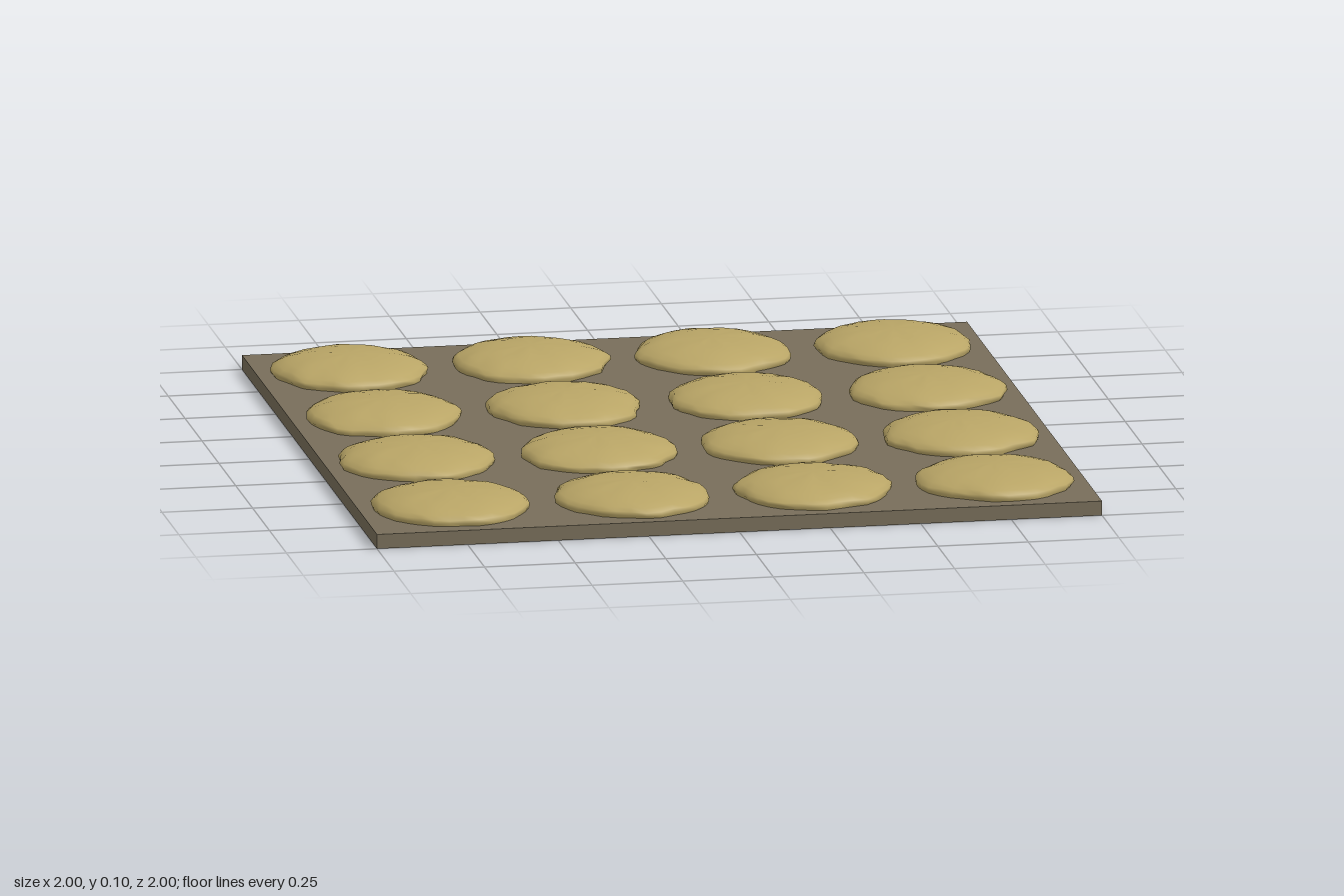
import * as THREE from 'three';
import { mergeVertices } from 'three/addons/utils/BufferGeometryUtils.js';

const TRAY_TOP = 0.04;

// small seeded generator, so every bun differs but repeats on each run
function seeded(seed) {
  let s = seed;
  return () => (s = (s * 16807) % 2147483647) / 2147483647;
}

// low dome with an uneven rim and faint swirling folds on top
function bunGeometry(rand) {
  const profile = [
    [0.206, -0.004], [0.212, 0.008], [0.209, 0.017], [0.196, 0.027], [0.172, 0.037],
    [0.138, 0.046], [0.098, 0.052], [0.05, 0.056], [0, 0.057],
  ].map(([r, y]) => new THREE.Vector2(r, y));
  let geo = new THREE.LatheGeometry(profile, 32);
  geo.deleteAttribute('normal');
  geo.deleteAttribute('uv');
  geo = mergeVertices(geo, 1e-5);

  const waves = [2, 3, 5, 8, 11].map((k) => ({ k, phase: rand() * Math.PI * 2, amp: 0.007 + rand() * 0.009 }));
  const foldPhase = rand() * Math.PI * 2;
  const pos = geo.attributes.position;
  for (let i = 0; i < pos.count; i++) {
    const x = pos.getX(i), y = pos.getY(i), z = pos.getZ(i);
    const r = Math.hypot(x, z);
    const t = r / 0.212;
    const a = Math.atan2(x, z);
    let scale = 1;
    for (const w of waves) scale += w.amp * t * t * Math.sin(w.k * a + w.phase + 25 * y);
    scale += (rand() - 0.5) * 0.025 * t * t;
    const fold = 0.0022 * t * (1 - t * 0.6) * Math.sin(7 * a + foldPhase + 14 * r);
    const lump = y > 0.005 ? (rand() - 0.5) * 0.003 * t : 0;
    pos.setXYZ(i, x * scale, y + (y > 0 ? fold + lump : 0), z * scale);
  }
  geo.computeVertexNormals();
  return geo;
}

export function createModel() {
  const model = new THREE.Group();
  model.name = 'trayOfBuns';

  const trayMaterial = new THREE.MeshStandardMaterial({ color: 0x786e5a });
  trayMaterial.name = 'greyBrown';
  const bunMaterial = new THREE.MeshStandardMaterial({ color: 0xb9a566 });
  bunMaterial.name = 'doughTan';

  // flat square tray
  const tray = new THREE.Mesh(new THREE.BoxGeometry(2, TRAY_TOP, 2), trayMaterial);
  tray.name = 'tray';
  tray.position.y = TRAY_TOP / 2;
  model.add(tray);

  // four by four buns
  const rand = seeded(4217);
  const buns = new THREE.Group();
  buns.name = 'buns';
  for (let row = 0; row < 4; row++) {
    for (let col = 0; col < 4; col++) {
      const bun = new THREE.Mesh(bunGeometry(rand), bunMaterial);
      bun.name = `bun${row * 4 + col + 1}`;
      bun.position.set(-0.75 + col * 0.5, TRAY_TOP, -0.75 + row * 0.5);
      buns.add(bun);
    }
  }
  model.add(buns);
  return model;
}
